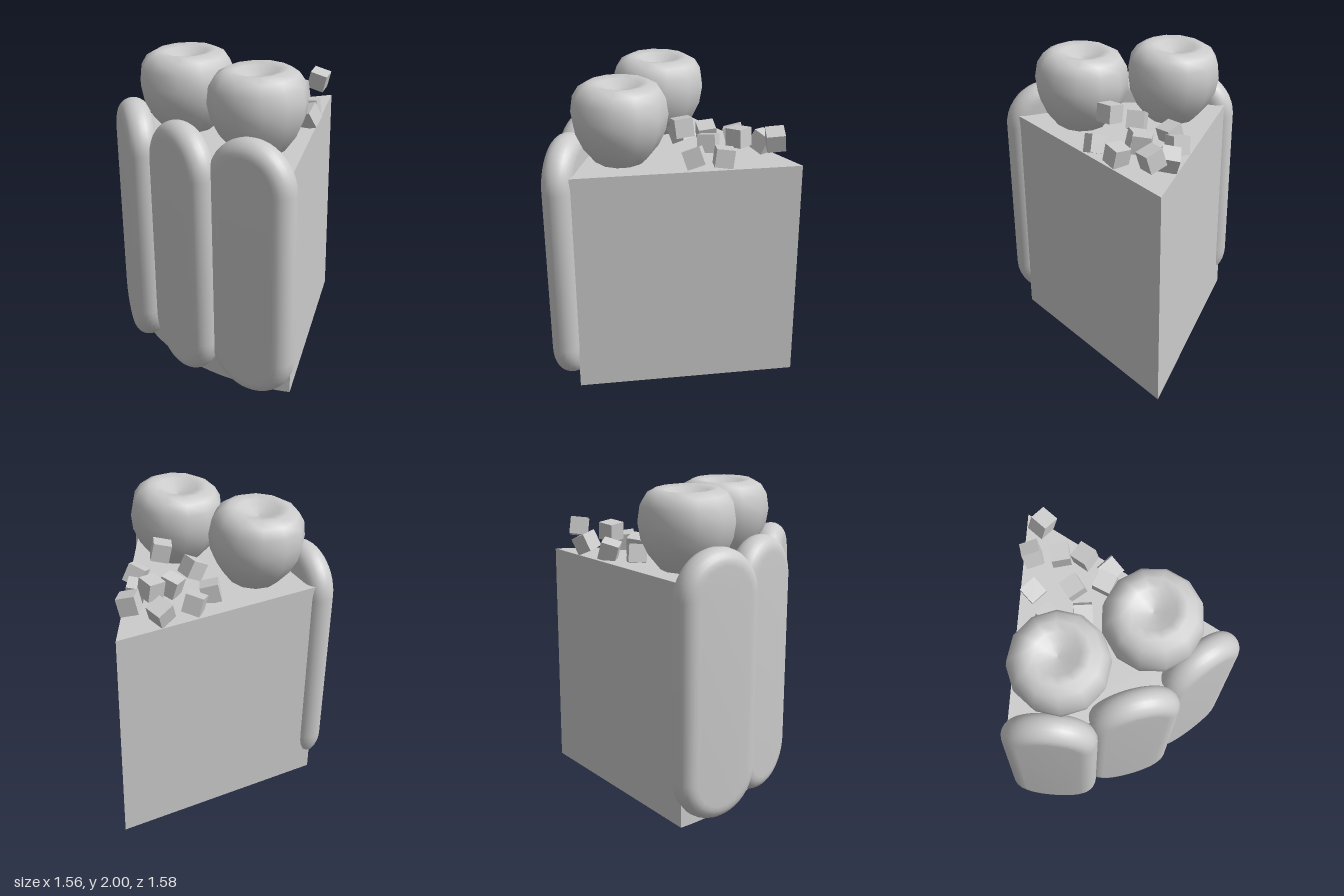
import * as THREE from 'three';
import { toCreasedNormals } from 'three/addons/utils/BufferGeometryUtils.js';

const material = new THREE.MeshStandardMaterial({ color: 0xcccccc });

function addMesh(parent, name, geometry, position = [0, 0, 0], rotation = [0, 0, 0]) {
  const mesh = new THREE.Mesh(geometry, material);
  mesh.name = name;
  mesh.position.set(...position);
  mesh.rotation.set(...rotation);
  parent.add(mesh);
  return mesh;
}

// 60 degree cake slice with a curved outer side
function cakeGeometry() {
  const apexX = -0.015, apexZ = -0.79, radius = 1.43, height = 1.5;
  const start = Math.PI / 3, end = Math.PI * 2 / 3;
  const shape = new THREE.Shape();
  shape.moveTo(apexX, apexZ);
  shape.lineTo(apexX + radius * Math.cos(start), apexZ + radius * Math.sin(start));
  shape.absarc(apexX, apexZ, radius, start, end, false);
  shape.lineTo(apexX, apexZ);
  const geometry = new THREE.ExtrudeGeometry(shape, { depth: height, bevelEnabled: false, curveSegments: 12 });
  geometry.rotateX(Math.PI / 2).translate(0, height, 0);
  return toCreasedNormals(geometry, 0.5);
}

// Pill-shaped biscuit with fully rounded edges, centred on its origin
function biscuitGeometry() {
  const width = 0.58, height = 1.68, round = 0.094;
  const r = width / 2 - round, h = height / 2 - width / 2;
  const shape = new THREE.Shape();
  shape.absarc(0, h, r, 0, Math.PI, false);
  shape.absarc(0, -h, r, Math.PI, Math.PI * 2, false);
  shape.closePath();
  const geometry = new THREE.ExtrudeGeometry(shape, {
    depth: 0.002, bevelSize: round, bevelThickness: round, bevelSegments: 6, curveSegments: 10,
  });
  geometry.translate(0, 0, -0.001);
  return toCreasedNormals(geometry, 1.1);
}

// Round fruit with a shallow dimple on top
function fruitGeometry() {
  const profile = [
    [0, -0.36], [0.1, -0.34], [0.165, -0.295], [0.24, -0.2], [0.287, -0.1], [0.303, 0],
    [0.288, 0.1], [0.25, 0.16], [0.19, 0.192], [0.13, 0.18], [0.07, 0.145], [0, 0.13],
  ].map(([x, y]) => new THREE.Vector2(x, y));
  return new THREE.LatheGeometry(profile, 12);
}

export function createModel() {
  const model = new THREE.Group();
  model.name = 'cakeSlice';

  addMesh(model, 'cake', cakeGeometry());

  // Biscuits along the curved side: x, z, yaw
  const biscuit = biscuitGeometry();
  [[-0.515, 0.57, -30], [0, 0.657, -11], [0.495, 0.57, 9.5]].forEach(([x, z, yaw], i) =>
    addMesh(model, `biscuit${i + 1}`, biscuit, [x, 0.85, z], [0, THREE.MathUtils.degToRad(yaw), 0]));

  // Fruits on top
  const fruit = fruitGeometry();
  addMesh(model, 'rightFruit', fruit, [-0.31, 1.8, 0.3], [0, 0.1, 0.04]);
  addMesh(model, 'leftFruit', fruit, [0.29, 1.8, 0.3], [0, 0.3, 0.04]);

  // Scattered cubes: x, y, z, then rotation
  const cube = new THREE.BoxGeometry(0.115, 0.115, 0.115);
  [
    [0.01, 1.66, -0.615, 0.1, 0.4, -0.3],
    [-0.125, 1.58, -0.49, -0.4, -0.25, 0.1],
    [0.02, 1.645, -0.38, 0.1, -0.3, 0.12],
    [0.165, 1.56, -0.34, -0.15, 0.45, 0.2],
    [-0.22, 1.56, -0.27, 0.3, 0.3, 0.1],
    [0.27, 1.57, -0.19, 0.4, 0.3, 0.2],
    [0.01, 1.57, -0.18, 0.1, 0.1, 0.25],
    [-0.215, 1.55, -0.08, 0.1, 0.55, -0.3],
    [0.165, 1.715, -0.065, 0.1, 0.65, 0.15],
    [-0.02, 1.61, 0.015, 0.55, -0.35, 0.2],
  ].forEach(([x, y, z, ...rotation], i) =>
    addMesh(model, `cube${i + 1}`, cube, [x, y, z], rotation));

  return model;
}
